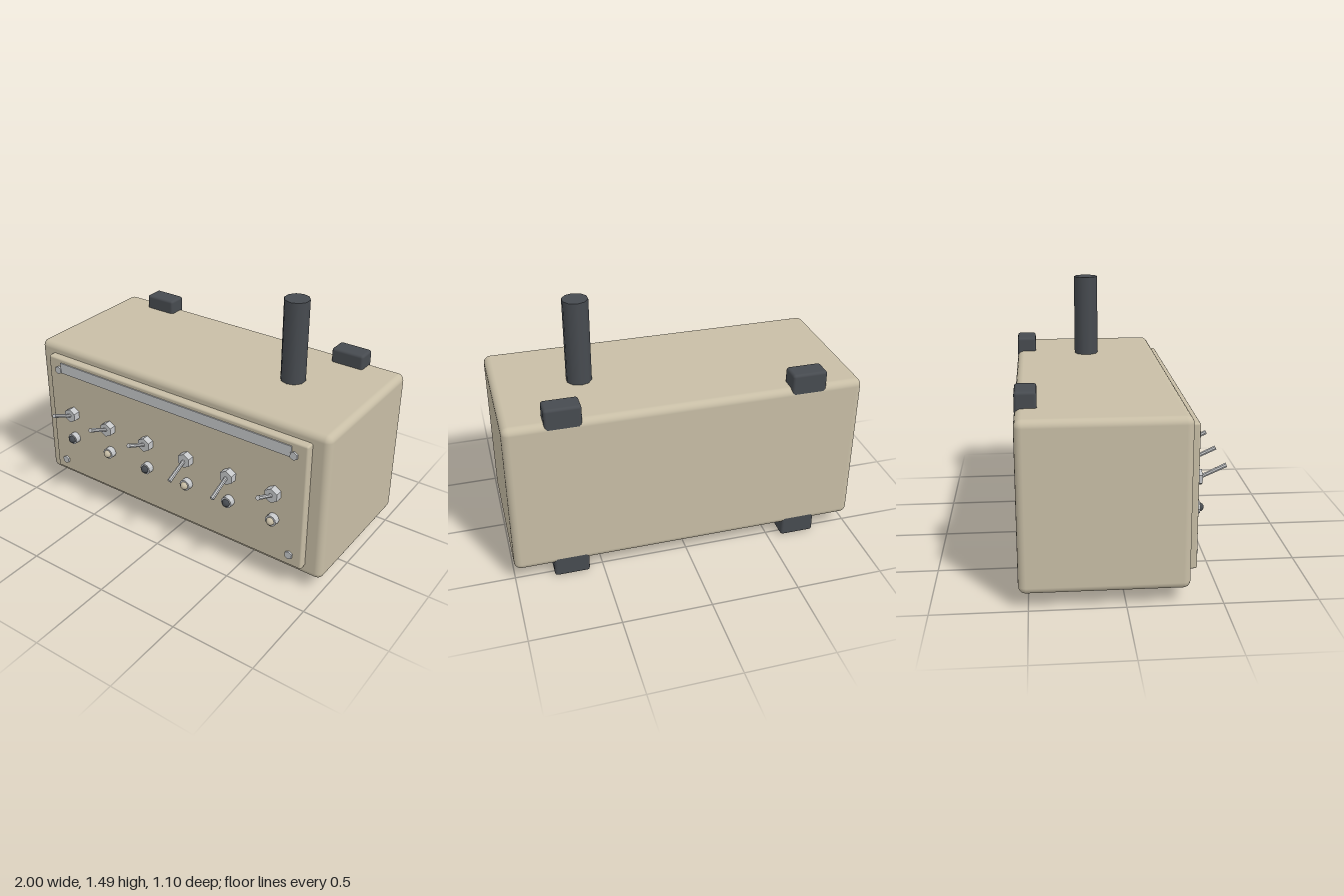
import * as THREE from 'three';
import { RoundedBoxGeometry } from 'three/addons/geometries/RoundedBoxGeometry.js';

const mat = (name, color, flatShading = false) => {
  const m = new THREE.MeshStandardMaterial({ color, flatShading });
  m.name = name;
  return m;
};

export function createModel() {
  const model = new THREE.Group();
  model.name = 'switchBox';
  const beige = mat('beige enamel', 0xc8bea6);
  const dark = mat('dark rubber', 0x474b50);
  const metal = mat('metal', 0xc4c6c8, true);

  const add = (name, geometry, material, x, y, z, parent = model) => {
    const mesh = new THREE.Mesh(geometry, material);
    mesh.name = name;
    mesh.position.set(x, y, z);
    parent.add(mesh);
    return mesh;
  };
  // Cylinder whose axis points toward the front
  const peg = (r, depth, sides) => new THREE.CylinderGeometry(r, r, depth, sides).rotateX(Math.PI / 2);

  // Cabinet and raised front panel
  add('cabinet', new RoundedBoxGeometry(2, 0.916, 0.88, 3, 0.04), beige, 0, 0.542, -0.11);
  add('frontPanel', new RoundedBoxGeometry(1.8, 0.79, 0.065, 2, 0.012), beige, 0, 0.545, 0.3425);
  add('labelStrip', new THREE.BoxGeometry(1.61, 0.066, 0.008), metal, 0, 0.881, 0.377);

  // Mounting straps running behind the cabinet, showing above and below
  for (const x of [-0.68, 0.68]) {
    add('mountingStrap', new RoundedBoxGeometry(0.2, 1.085, 0.115, 2, 0.016), dark, x, 0.5425, -0.4915);
  }

  // Upright post on the lid
  add('post', new THREE.CylinderGeometry(0.0725, 0.0725, 0.515, 10), dark, 0.515, 1.2275, -0.115);

  // Hexagonal panel screws
  for (const x of [-0.822, 0.822]) {
    for (const y of [0.223, 0.863]) {
      add('panelScrew', peg(0.025, 0.02, 6), metal, x, y, 0.376);
    }
  }

  // Six toggle switches with an indicator lamp under each
  const up = [1, 1, 1, -1, -1, 1];
  up.forEach((dir, i) => {
    const unit = new THREE.Group();
    unit.name = 'switchUnit';
    unit.position.x = -0.724 + i * 0.288;
    model.add(unit);

    add('toggleNut', peg(0.044, 0.045, 6), metal, 0, 0.592, 0.3945, unit);
    const lever = add('toggleLever', new THREE.CylinderGeometry(0.013, 0.011, 0.15, 8), metal,
      0, 0.592 + dir * 0.031, 0.478, unit);
    lever.rotation.x = Math.PI / 2 - dir * 0.43;

    add('lampBezel', peg(0.034, 0.04, 12), metal, 0, 0.423, 0.39, unit);
    const dome = new THREE.SphereGeometry(0.024, 12, 6, 0, Math.PI * 2, 0, Math.PI / 2).rotateX(Math.PI / 2);
    add('lamp', dome, i % 2 ? beige : dark, 0, 0.423, 0.409, unit).material.name;
  });

  return model;
}
